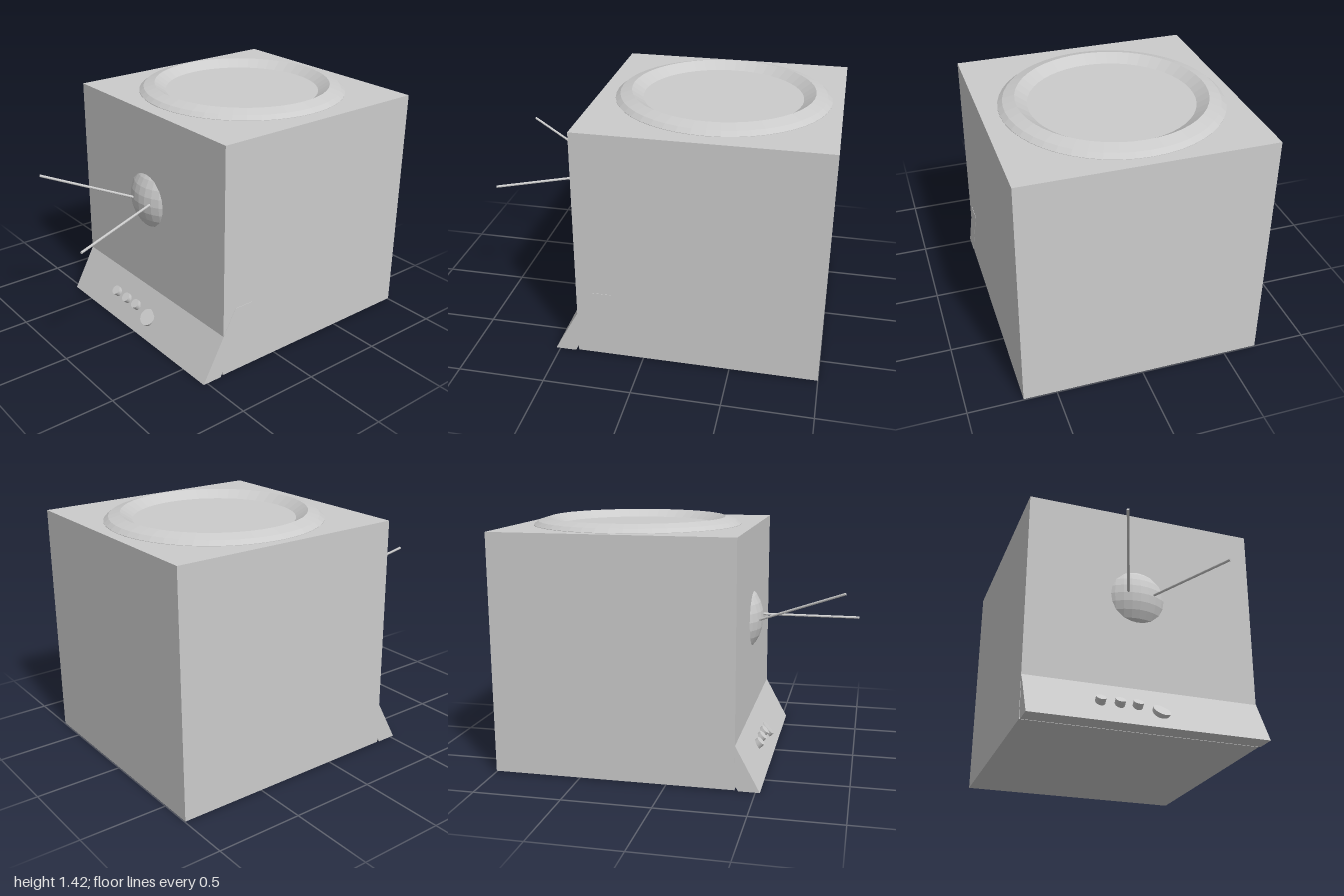
import * as THREE from 'three';

const material = new THREE.MeshStandardMaterial({ color: 0xcccccc, flatShading: true });

export function createModel() {
  const model = new THREE.Group();
  model.name = 'boxWithPanel';

  const add = (name, geometry, x = 0, y = 0, z = 0) => {
    const mesh = new THREE.Mesh(geometry, material);
    mesh.name = name;
    mesh.position.set(x, y, z);
    model.add(mesh);
    return mesh;
  };

  // Cylinder running between two points
  const rod = (name, from, to, radius, sides) => {
    const a = new THREE.Vector3(...from);
    const b = new THREE.Vector3(...to);
    const mesh = add(name, new THREE.CylinderGeometry(radius, radius, a.distanceTo(b), sides));
    mesh.position.lerpVectors(a, b, 0.5);
    mesh.quaternion.setFromUnitVectors(new THREE.Vector3(0, 1, 0), b.sub(a).normalize());
    return mesh;
  };

  // Cube body
  add('body', new THREE.BoxGeometry(1.382, 1.375, 1.386), -0.002, 0.6925, -0.307);

  // Slanted control panel, leaning back into the body (drawn as z, y and swept along x)
  const slab = new THREE.Shape([
    [0.525, 0], [0.304, 0.41], [0.184, 0.41], [0.405, 0],
  ].map(([z, y]) => new THREE.Vector2(-z, y)));
  const panel = new THREE.ExtrudeGeometry(slab, { depth: 1.382, bevelEnabled: false });
  panel.translate(0, 0, -0.691).rotateY(Math.PI / 2);
  add('controlPanel', panel);

  // Raised ring on the top face
  const profile = [
    [0.617, 1.37], [0.617, 1.382], [0.59, 1.404], [0.524, 1.424], [0.458, 1.38], [0.45, 1.37],
  ].map(([r, y]) => new THREE.Vector2(r, y));
  add('topRing', new THREE.LatheGeometry(profile, 48), -0.025, 0, -0.32);

  // Domed sphere half sunk into the front
  add('frontDome', new THREE.SphereGeometry(0.257, 32, 16), -0.032, 0.83, 0.188);

  // Two thin rods sticking out of the dome
  rod('rightRod', [-0.1, 0.832, 0.42], [-0.287, 1.038, 0.93], 0.0075, 10);
  rod('leftRod', [0.053, 0.841, 0.42], [0.26, 0.8, 1], 0.0075, 10);

  // Three small knobs and one wide button on the panel
  for (const x of [-0.275, -0.165, -0.063]) {
    rod('knob', [x, 0.093, 0.418], [x, 0.15, 0.475], 0.029, 24);
  }
  rod('wideButton', [0.066, 0.094, 0.448], [0.071, 0.118, 0.475], 0.051, 32);

  return model;
}
